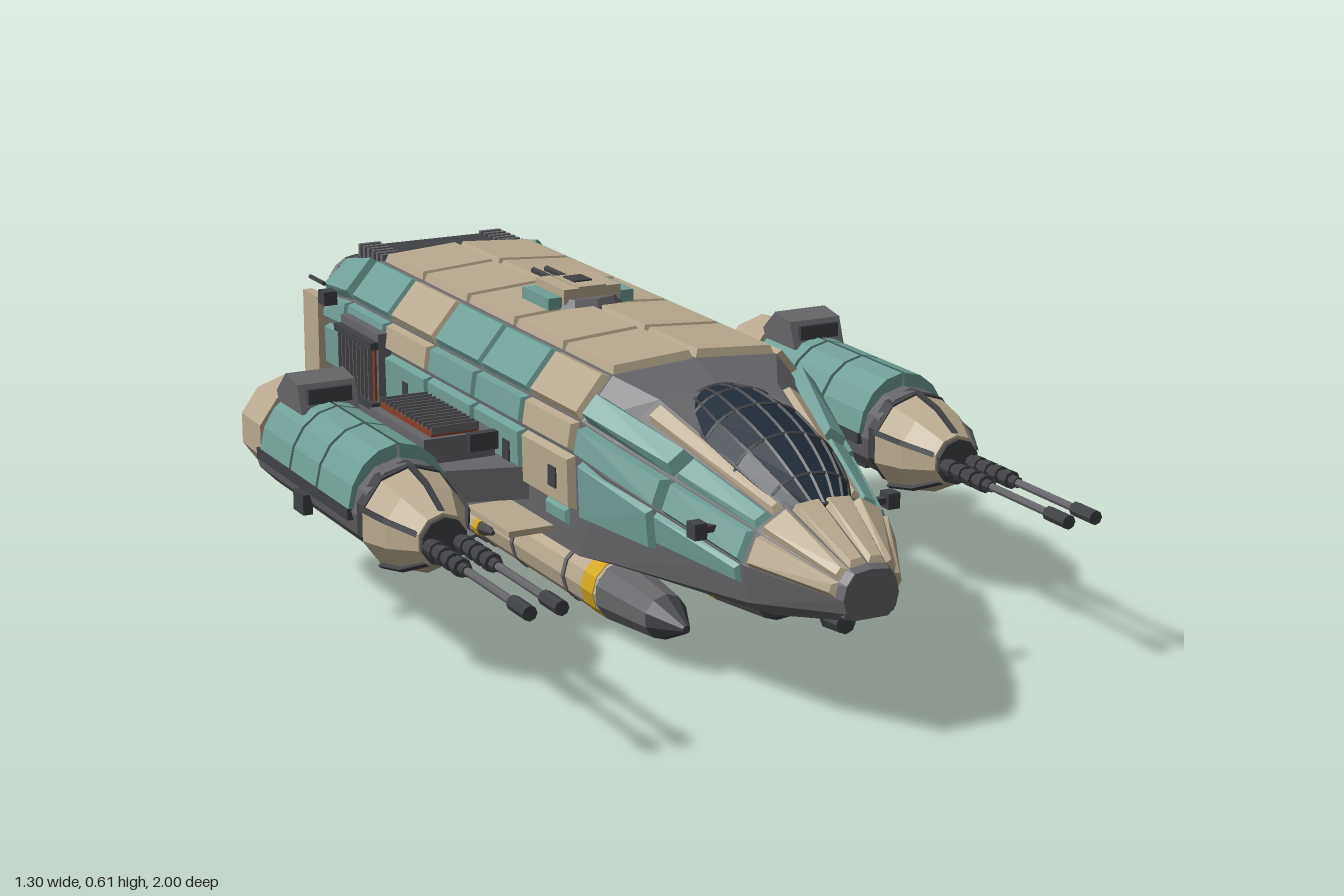
import * as THREE from 'three';
import { ConvexGeometry } from 'three/addons/geometries/ConvexGeometry.js';

const BEIGE = 0xb8a98f, TEAL = 0x6f9f97, GREY = 0x66666a, DARK = 0x404145;
const GLASS = 0x1f2b38, RED = 0x8a4029, YELLOW = 0xd0a521, LENS = 0x8c94aa;
const V = (x, y, z) => new THREE.Vector3(x, y, z);
const mats = {};
const mat = c => mats[c] ??= new THREE.MeshStandardMaterial({ color: c, flatShading: true, side: THREE.DoubleSide });

function add(parent, name, geo, color, x = 0, y = 0, z = 0) {
  const m = new THREE.Mesh(geo, mat(color));
  m.name = name;
  m.position.set(x, y, z);
  parent.add(m);
  return m;
}
// box given by centre and size
const box = (p, name, color, x, y, z, w, h, d) => add(p, name, new THREE.BoxGeometry(w, h, d), color, x, y, z);
// cylinder along z between zf (front) and zb (back)
function rod(p, name, color, x, y, zf, zb, rf, rb = rf, sides = 10, start = 0, len = Math.PI * 2) {
  const g = new THREE.CylinderGeometry(rf, rb, zf - zb, sides, 1, false, start, len).rotateX(Math.PI / 2);
  return add(p, name, g, color, x, y, (zf + zb) / 2);
}
// skin over mirrored half rings, listed front to back
function loft(stations) {
  const rings = stations.map(({ z, half }) => [
    ...half.map(([x, y]) => V(x, y, z)), ...half.slice().reverse().map(([x, y]) => V(-x, y, z))]);
  const pts = [], n = rings[0].length, last = rings.length - 1;
  for (let s = 0; s < last; s++) for (let j = 0; j < n; j++) {
    const k = (j + 1) % n, a = rings[s][j], b = rings[s][k], c = rings[s + 1][k], d = rings[s + 1][j];
    pts.push(a, d, c, a, c, b);
  }
  for (let j = 1; j < n - 1; j++) {
    pts.push(rings[0][0], rings[0][j], rings[0][j + 1]);
    pts.push(rings[last][0], rings[last][j + 1], rings[last][j]);
  }
  const g = new THREE.BufferGeometry().setFromPoints(pts);
  g.computeVertexNormals();
  return g;
}

// hull half sections: keel edge, lower side, upper side, shoulder, roof edge, ridge
const HULL = [
  { z: 1, half: [[.035, .235], [.05, .25], [.056, .275], [.05, .3], [.035, .32], [0, .325]] },
  { z: .82, half: [[.09, .2], [.14, .23], [.15, .3], [.125, .36], [.065, .395], [0, .4]] },
  { z: .46, half: [[.16, .18], [.225, .21], [.24, .38], [.22, .44], [.125, .51], [0, .52]] },
  { z: .37, half: [[.18, .175], [.245, .2], [.25, .4], [.24, .46], [.175, .54], [0, .552]] },
  { z: -.7, half: [[.19, .183], [.25, .2], [.253, .4], [.245, .46], [.175, .54], [0, .552]] },
  { z: -.88, half: [[.19, .19], [.245, .205], [.25, .39], [.235, .44], [.165, .5], [0, .505]] },
];
function section(z, i) {
  let s = 0;
  while (s < HULL.length - 2 && z < HULL[s + 1].z) s++;
  const A = HULL[s], B = HULL[s + 1], t = (A.z - z) / (A.z - B.z);
  return A.half[i].map((v, k) => v + (B.half[i][k] - v) * t);
}
// raised armour plate on hull strip i, from zf to zb and across u0..u1, on both sides
function plate(p, color, i, zf, zb, u0 = .03, u1 = .97, thick = .016) {
  for (const s of [1, -1]) {
    const pts = [];
    for (const z of [zf, zb]) {
      const a = section(z, i), b = section(z, i + 1), dx = b[0] - a[0], dy = b[1] - a[1], l = Math.hypot(dx, dy);
      for (const [u, inset] of [[u0, .006], [u1, -.006]]) {
        const x = a[0] + dx * u, y = a[1] + dy * u, e = inset / l, dz = z === zf ? -.005 : .005;
        pts.push(V(s * x, y, z));
        pts.push(V(s * (x + dx * e + dy / l * thick), y + dy * e - dx / l * thick, z + dz));
      }
    }
    add(p, 'armourPlate', new ConvexGeometry(pts), color);
  }
}

function hull(root) {
  const g = new THREE.Group(); g.name = 'hull'; root.add(g);
  add(g, 'hullCore', loft(HULL), GREY);
  // main body plates, segment by segment
  const segs = [[.365, .165, BEIGE, BEIGE], [.155, -.05, TEAL, TEAL], [-.06, -.27, TEAL, TEAL],
    [-.28, -.49, BEIGE, TEAL], [-.5, -.695, TEAL, BEIGE]];
  for (const [a, b, shoulder, side] of segs) {
    plate(g, BEIGE, 4, a, b, .02, .985);
    plate(g, shoulder, 3, a, b);
    plate(g, shoulder, 2, a, b);
    plate(g, side, 1, a, b, .45, .97);
    plate(g, TEAL, 1, a - .03, a - .12, .25, .42, .008);
  }
  plate(g, TEAL, 3, -.705, -.87, .03, .97, .025);
  plate(g, TEAL, 2, -.705, -.87);
  plate(g, TEAL, 1, -.705, -.82, .5, .97);
  // nose plates
  plate(g, BEIGE, 4, .985, .83, .05, .96, .012);
  plate(g, BEIGE, 3, .985, .83, .03, .97, .012);
  plate(g, BEIGE, 2, .985, .83, .03, .97, .012);
  plate(g, BEIGE, 3, .815, .48, .62, .97, .012);
  plate(g, TEAL, 3, .815, .62, .05, .58, .012);
  plate(g, TEAL, 3, .61, .385, .05, .58, .026);
  plate(g, TEAL, 2, .815, .62, .03, .97, .012);
  plate(g, TEAL, 2, .61, .385, .03, .97, .02);
  plate(g, TEAL, 1, .81, .6, .5, .97, .01);
  plate(g, TEAL, 1, .59, .39, .4, .97, .014);
  box(g, 'noseBlock', GREY, 0, .268, .965, .1, .055, .06);
  rod(g, 'chinSensor', DARK, 0, .2, .92, .87, .02, .025, 8);
  // rear deck louvres
  box(g, 'rearDeck', DARK, 0, .525, -.775, .24, .04, .13);
  for (const s of [1, -1]) for (let i = 0; i < 6; i++)
    box(g, 'deckLouvre', GREY, s * .145, .535, -.72 - i * .024, .05, .03, .012);
  for (const s of [1, -1]) {
    // side vents: rust core behind fins
    box(g, 'ventFrame', GREY, s * .268, .35, -.58, .03, .18, .2);
    box(g, 'ventCore', RED, s * .28, .35, -.58, .016, .11, .18);
    for (let i = 0; i < 9; i++) box(g, 'ventFin', GREY, s * .29, .35, -.5 - i * .02, .018, .11, .003);
    for (const y of [.285, .415]) box(g, 'ventRim', DARK, s * .285, y, -.58, .03, .015, .2);
    box(g, 'sternPlate', BEIGE, s * .265, .335, -.87, .022, .22, .085);
    // small fittings
    box(g, 'sensorArm', DARK, s * .175, .35, .74, .05, .012, .015);
    box(g, 'sensor', DARK, s * .2, .35, .74, .025, .03, .03);
    box(g, 'thruster', DARK, s * .28, .46, -.76, .03, .03, .035);
    rod(g, 'aerial', DARK, s * .255, .47, -.84, -.92, .005, .005, 5);
    for (const z of [.3, .1, -.38]) box(g, 'hatch', DARK, s * .262, .34, z, .012, .04, .03);
  }
}

function canopy(root) {
  const g = new THREE.Group(); g.name = 'canopy'; root.add(g);
  const st = [[.84, .055, .37, .398], [.79, .085, .38, .44], [.7, .108, .4, .49], [.6, .114, .42, .52],
    [.52, .1, .44, .53], [.46, .08, .46, .523]].map(([z, w, y0, y1]) => ({
    z, half: [0, 1, 2, 3, 4].map(k => {
      const a = k * Math.PI / 8;
      return [w * Math.cos(a), y0 + (y1 - y0) * Math.pow(Math.sin(a), .8)];
    }) }));
  add(g, 'glass', loft(st), GLASS);
  const bar = pts => add(g, 'canopyRib', new THREE.TubeGeometry(new THREE.CatmullRomCurve3(pts), 20, .0035, 4), DARK);
  for (const { z, half } of st)
    bar([...half.map(([x, y]) => V(x, y, z)), ...half.slice(0, 4).reverse().map(([x, y]) => V(-x, y, z))]);
  for (let k = 1; k < 5; k++) for (const s of k < 4 ? [1, -1] : [1])
    bar(st.map(({ z, half }) => V(s * half[k][0], half[k][1], z)));
}

function turret(root) {
  const g = new THREE.Group(); g.name = 'roofTurret'; root.add(g);
  add(g, 'turretRing', new THREE.CylinderGeometry(.085, .095, .02, 12), GREY, 0, .57, -.12);
  for (const s of [1, -1]) {
    box(g, 'turretCheek', BEIGE, s * .045, .585, -.12, .035, .03, .13);
    box(g, 'turretSkirt', TEAL, s * .08, .573, -.12, .03, .024, .12);
    rod(g, 'turretBarrel', DARK, s * .015, .588, -.17, -.29, .007, .007, 6);
  }
  box(g, 'turretBody', BEIGE, 0, .588, -.11, .06, .03, .11);
  box(g, 'turretHatch', DARK, 0, .603, -.12, .04, .006, .05);
}

function engines(root) {
  const bell = new THREE.LatheGeometry([[.05, 0], [.066, .015], [.062, .05], [.073, .06], [.073, .075], [.066, .13],
    [.058, .13], [.052, .08]].map(([r, y]) => new THREE.Vector2(r, y)), 16).rotateX(-Math.PI / 2);
  for (const x of [.115, -.115]) for (const y of [.275, .42]) {
    const g = new THREE.Group(); g.name = 'engine'; root.add(g);
    add(g, 'nozzle', bell, GREY, x, y, -.87);
    add(g, 'nozzleRing', new THREE.TorusGeometry(.064, .008, 6, 16), DARK, x, y, -.992);
    rod(g, 'burner', LENS, x, y, -.93, -.955, .056, .056, 16);
    rod(g, 'burnerCone', DARK, x, y, -.95, -.975, .03, .012, 10);
    for (let i = 0; i < 8; i++) {
      const a = i * Math.PI / 4;
      box(g, 'nozzleClamp', DARK, x + .068 * Math.cos(a), y + .068 * Math.sin(a), -.94, .014, .014, .05);
    }
  }
}

function wing(root, s) {
  const g = new THREE.Group(); g.name = 'wing'; root.add(g);
  const pts = [];
  for (const y of [.255, .32]) for (const [x, z] of [[.22, -.29], [.47, -.21], [.47, .1], [.22, .17]]) pts.push(V(s * x, y, z));
  add(g, 'wingSpar', new ConvexGeometry(pts), GREY);
  box(g, 'wingBox', GREY, s * .355, .35, -.05, .15, .05, .26);
  box(g, 'wingIntake', DARK, s * .31, .36, .085, .06, .035, .02);
  // wing vent
  box(g, 'wingVentCore', RED, s * .36, .38, -.05, .1, .012, .24);
  for (let i = 0; i < 13; i++) box(g, 'wingVentFin', GREY, s * .36, .388, -.17 + i * .02, .1, .016, .003);
  // missile rack
  box(g, 'rackPlate', BEIGE, s * .29, .225, .17, .1, .012, .19);
  box(g, 'rackRail', GREY, s * .365, .222, -.06, .19, .012, .26);
  for (const x of [.3, .367, .435]) {
    rod(g, 'missile', BEIGE, s * x, .178, .05, -.22, .016, .016, 8);
    rod(g, 'missileBand', YELLOW, s * x, .178, .07, .05, .018, .018, 8);
    rod(g, 'missileNose', DARK, s * x, .178, .11, .07, .004, .016, 8);
    box(g, 'missileHanger', DARK, s * x, .205, -.08, .01, .03, .1);
    for (const r of [.785, -.785]) box(g, 'missileFin', DARK, s * x, .178, -.2, .05, .004, .04).rotation.z = r;
  }
}

function nacelle(root, s) {
  const g = new THREE.Group(); g.name = 'gunNacelle'; g.position.set(s * .55, .305, 0); root.add(g);
  rod(g, 'nacelleCore', GREY, 0, 0, .28, -.27, .094, .094, 12);
  // upper shells, split in three lengths and two sides
  for (const [a, b] of [[.235, .085], [.075, -.05], [-.06, -.21]])
    for (const st of [.52, 1.01])
      rod(g, 'nacelleShell', TEAL, 0, 0, a, b, .102, .102, 4, Math.PI * st, Math.PI * .47).scale.y = 1.18;
  for (const x of [1, -1]) box(g, 'sideRail', DARK, x * .095, -.005, 0, .014, .022, .46);
  box(g, 'fuelHatch', DARK, s * .09, -.05, -.02, .02, .04, .05);
  box(g, 'lowerPanel', DARK, 0, -.09, 0, .06, .015, .3);
  // top intake
  add(g, 'intake', new ConvexGeometry([-.06, .06].flatMap(x => [V(x, .1, -.09), V(x, .1, -.21),
    V(x, .155, -.11), V(x, .165, -.17), V(x, .12, -.22)])), GREY);
  box(g, 'intakeMouth', DARK, 0, .133, -.095, .09, .03, .012);
  // tail cap
  rod(g, 'tailCap', BEIGE, 0, .02, -.22, -.33, .102, .098, 10);
  rod(g, 'tailTip', BEIGE, 0, .02, -.33, -.37, .098, .068, 10);
  rod(g, 'tailVent', DARK, 0, .02, -.36, -.374, .05, .05, 10);
  // front fairing with ribs
  rod(g, 'frontCollar', DARK, 0, -.005, .29, .26, .098, .1, 10);
  rod(g, 'frontFairing', BEIGE, 0, -.01, .36, .285, .084, .1, 10);
  rod(g, 'frontCone', BEIGE, 0, -.01, .43, .36, .05, .084, 10);
  rod(g, 'gunMount', DARK, 0, -.012, .44, .42, .046, .046, 10);
  for (let i = 0; i < 5; i++) {
    const a = Math.PI * (.1 + i * .4), c = Math.cos(a), n = Math.sin(a);
    const rib = new ConvexGeometry([[.05, .43], [.086, .36], [.102, .285], [.04, .3]].flatMap(([r, z]) =>
      [-.005, .005].map(w => V((r + .004) * c - w * n, (r + .004) * n + w * c - .01, z))));
    add(g, 'fairingRib', rib, DARK);
  }
  // twin guns
  for (const x of [-.03, .03]) {
    rod(g, 'gunSleeve', DARK, x, -.015, .6, .42, .011, .015, 8);
    for (let i = 0; i < 4; i++) rod(g, 'coolingRing', DARK, x, -.015, .475 + i * .035, .455 + i * .035, .018, .018, 8);
    rod(g, 'barrel', GREY, x, -.015, .79, .59, .008, .008, 8);
    rod(g, 'muzzle', DARK, x, -.015, .85, .785, .014, .014, 8);
  }
}

function torpedo(root, s) {
  const g = new THREE.Group(); g.name = 'torpedo'; g.position.set(s * .12, .094, 0); root.add(g);
  rod(g, 'noseTip', DARK, 0, 0, .56, .48, .008, .045, 10);
  rod(g, 'noseCone', GREY, 0, 0, .48, .31, .045, .062, 10);
  rod(g, 'warningBand', YELLOW, 0, 0, .3, .25, .0625, .0625, 12);
  rod(g, 'body', BEIGE, 0, 0, .31, -.24, .061, .061, 12);
  rod(g, 'tailRing', GREY, 0, 0, -.24, -.3, .066, .066, 12);
  rod(g, 'tail', BEIGE, 0, 0, -.3, -.42, .061, .056, 12);
  rod(g, 'exhaust', DARK, 0, 0, -.41, -.425, .042, .042, 12);
  for (const z of [.18, -.05, -.2]) rod(g, 'joint', GREY, 0, 0, z, z - .012, .064, .064, 12);
  for (const d of [1, -1]) {
    const k = Math.SQRT1_2;
    const fin = [[.05, -.24], [.05, -.4], [.131, -.34], [.131, -.405]].flatMap(([r, z]) =>
      [-.003, .003].map(w => V(d * (r * k + w), -r * k + w, z)));
    add(g, 'tailFin', new ConvexGeometry(fin), GREY);
  }
  box(g, 'hanger', GREY, -s * .03, .065, .02, .05, .05, .3);
}

export function createModel() {
  const root = new THREE.Group();
  root.name = 'gunship';
  hull(root);
  canopy(root);
  turret(root);
  engines(root);
  box(root, 'torpedoPylon', GREY, 0, .14, 0, .075, .07, .36);
  for (const s of [1, -1]) {
    wing(root, s);
    nacelle(root, s);
    torpedo(root, s);
  }
  return root;
}
